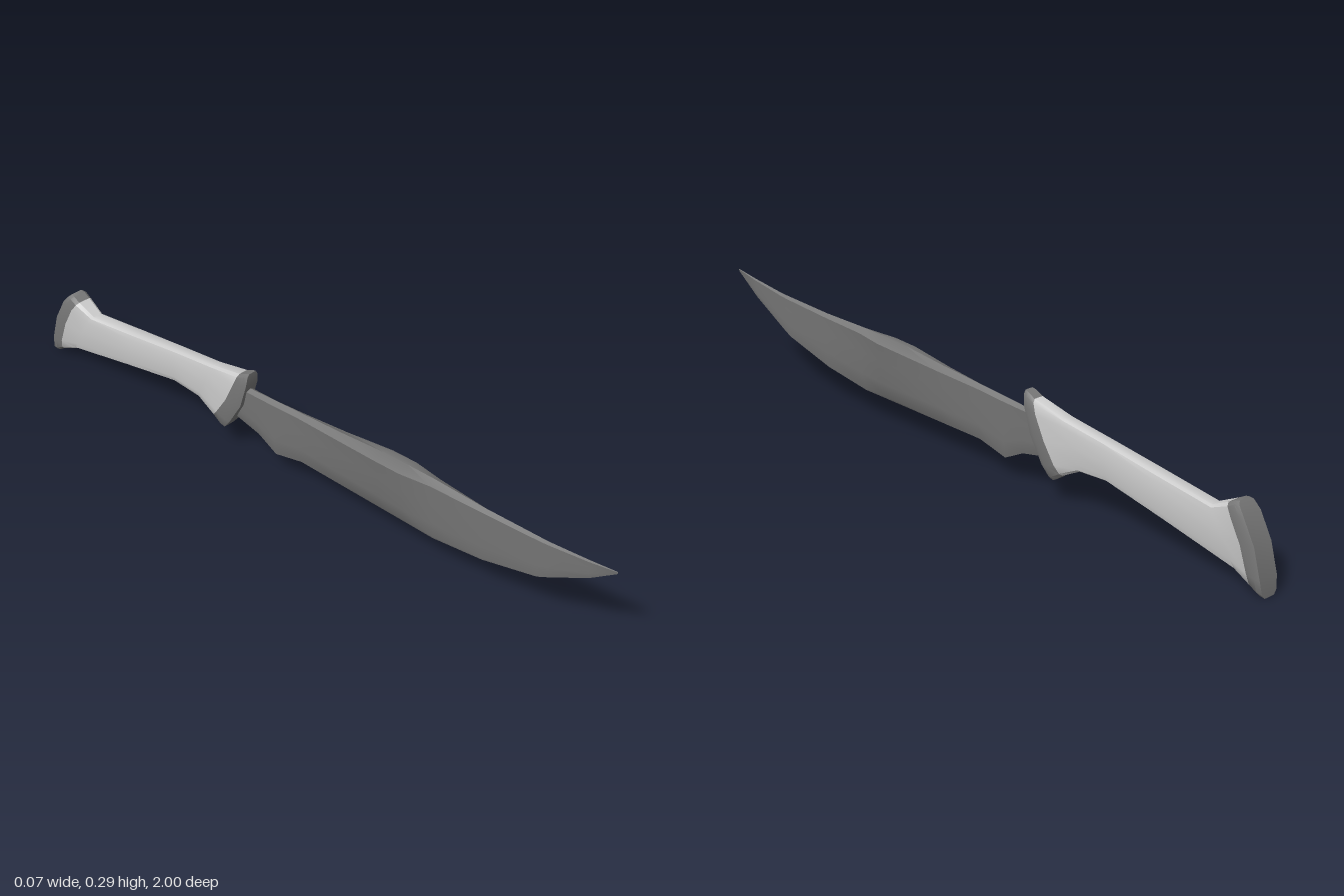
import * as THREE from 'three';
import { toCreasedNormals } from 'three/addons/utils/BufferGeometryUtils.js';

// Right half of each cross-section: [width factor, position from top (0) to bottom (1)]
const BLADE_HALF = [[0, 0], [1, 0.06], [0.75, 0.35], [0.5, 0.72], [0.15, 0.96], [0, 1]];
const HANDLE_HALF = [[0.55, 0], [0.84, 0.04], [1, 0.17], [1, 0.5], [1, 0.83], [0.84, 0.96], [0.55, 1]];

// Point on the bowed line through top, middle and bottom ([z, y] each)
function bow([top, mid, bottom], s) {
  return [0, 1].map((k) =>
    top[k] * (1 - s) * (1 - 2 * s) + mid[k] * 4 * s * (1 - s) + bottom[k] * s * (2 * s - 1));
}

// Mirrored loft through sections ordered front to back, capped at both ends
function loft(sections, half) {
  const m = half.length, n = 2 * m, last = sections.length - 1;
  const rings = sections.map(({ line, w }) => {
    const right = half.map(([f, s]) => {
      const [z, y] = bow(line, s);
      return new THREE.Vector3(f * w, y, z);
    });
    const left = right.map((p) => new THREE.Vector3(-p.x, p.y, p.z)).reverse();
    return [...right, ...left];
  });
  const pos = [];
  const tri = (a, b, c) => {
    if (new THREE.Triangle(a, b, c).getArea() < 1e-9) return;
    for (const p of [a, b, c]) pos.push(p.x, p.y, p.z);
  };
  const quad = (a, b, c, d) => { tri(a, b, c); tri(a, c, d); };
  for (let j = 0; j < last; j++) {
    const a = rings[j], b = rings[j + 1];
    for (let i = 0; i < n; i++) {
      const k = (i + 1) % n;
      quad(a[i], a[k], b[k], b[i]);
    }
  }
  const f = rings[0], r = rings[last];
  for (let i = 0; i < m - 1; i++) {
    quad(f[i], f[n - 1 - i], f[n - 2 - i], f[i + 1]);
    quad(r[i], r[i + 1], r[n - 2 - i], r[n - 1 - i]);
  }
  const geo = new THREE.BufferGeometry();
  geo.setAttribute('position', new THREE.Float32BufferAttribute(pos, 3));
  return toCreasedNormals(geo, 0.65);
}

export function createModel() {
  const steel = new THREE.MeshStandardMaterial({ color: 0x777777 });
  const light = new THREE.MeshStandardMaterial({ color: 0xcccccc });
  const group = new THREE.Group();
  const add = (name, sections, half, material) => {
    const mesh = new THREE.Mesh(loft(sections, half), material);
    mesh.name = name;
    group.add(mesh);
  };

  // Blade: [z, spine y, edge y, half width]
  const blade = [
    [1, 0.29, 0.284, 0.001], [0.92, 0.28, 0.227, 0.004], [0.8, 0.268, 0.162, 0.006],
    [0.77, 0.267, 0.147, 0.007], [0.6, 0.262, 0.104, 0.01], [0.44, 0.264, 0.083, 0.02],
    [0.35, 0.262, 0.083, 0.033], [0.27, 0.259, 0.083, 0.033], [0.12, 0.246, 0.083, 0.022],
    [-0.02, 0.237, 0.083, 0.014], [-0.115, 0.231, 0.061, 0.012],
    [-0.18, 0.226, 0.094, 0.012], [-0.28, 0.222, 0.115, 0.012],
  ].map(([z, t, b, w]) => ({ line: [[z, t], [z, (t + b) / 2], [z, b]], w }));
  add('blade', blade, BLADE_HALF, steel);

  // Slanted sections shared where the handle parts meet
  const guardBack = { line: [[-0.235, 0.264], [-0.28, 0.166], [-0.337, 0.088]], w: 0.025 };
  const pommelFront = { line: [[-0.88, 0.205], [-0.932, 0.118], [-0.962, 0.018]], w: 0.033 };

  // Guard: thin slanted plate with a bowed front
  add('guard', [
    { line: [[-0.2, 0.278], [-0.227, 0.168], [-0.3, 0.064]], w: 0.021 },
    { line: [[-0.212, 0.275], [-0.245, 0.167], [-0.312, 0.069]], w: 0.025 },
    guardBack,
  ], HANDLE_HALF, steel);

  // Grip: flares into the guard and the pommel
  add('grip', [
    guardBack,
    { line: [[-0.34, 0.243], [-0.365, 0.18], [-0.395, 0.118]], w: 0.022 },
    { line: [[-0.48, 0.225], [-0.485, 0.175], [-0.49, 0.124]], w: 0.022 },
    { line: [[-0.65, 0.202], [-0.665, 0.147], [-0.68, 0.088]], w: 0.024 },
    { line: [[-0.826, 0.179], [-0.87, 0.112], [-0.91, 0.04]], w: 0.024 },
    pommelFront,
  ], HANDLE_HALF, light);

  // Pommel: bowed end cap
  add('pommel', [
    pommelFront,
    { line: [[-0.9, 0.216], [-0.957, 0.125], [-0.985, 0.004]], w: 0.034 },
    { line: [[-0.912, 0.219], [-0.972, 0.125], [-1, 0]], w: 0.03 },
  ], HANDLE_HALF, steel);

  return group;
}
